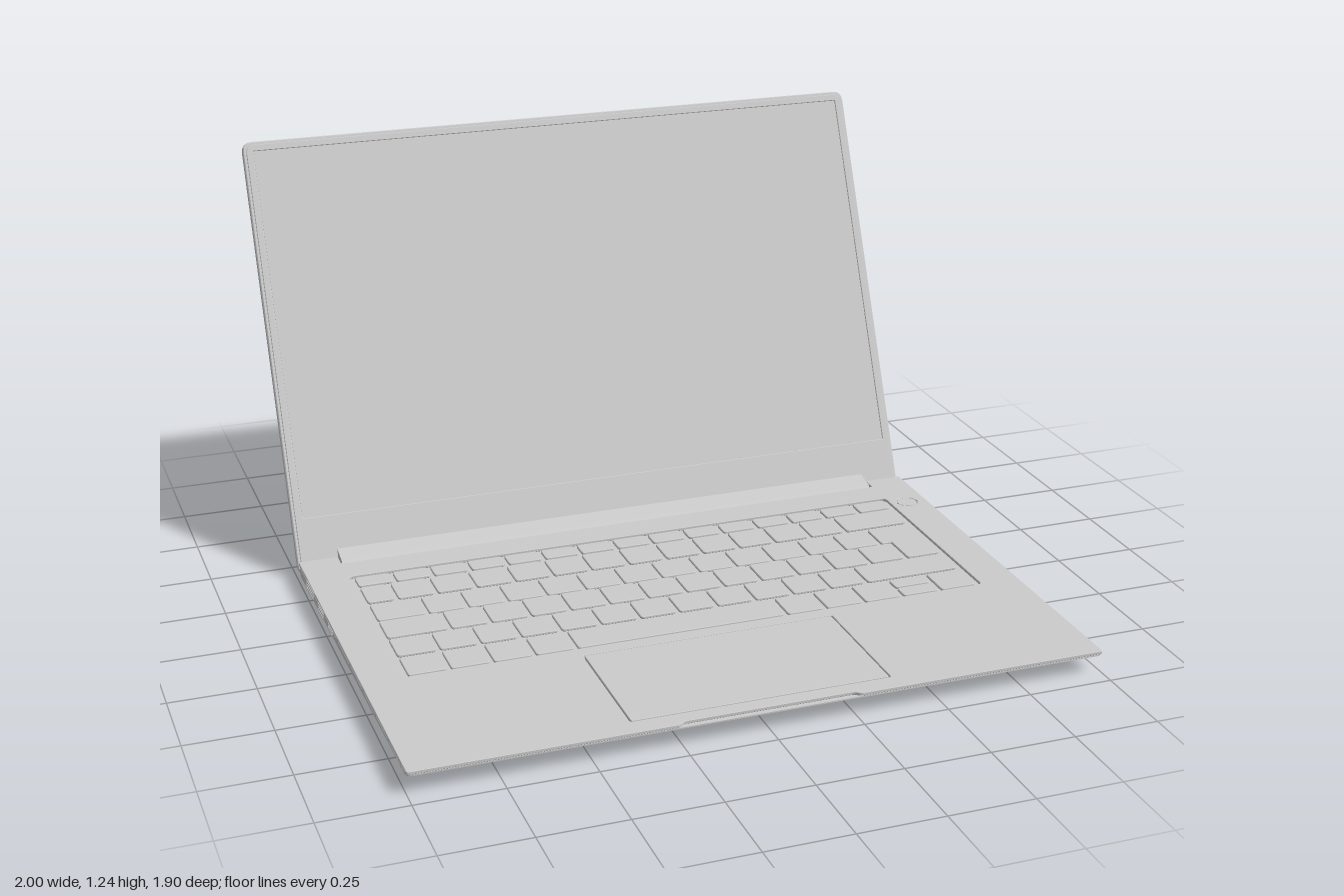
import * as THREE from 'three';
import { toCreasedNormals } from 'three/addons/utils/BufferGeometryUtils.js';

const material = new THREE.MeshStandardMaterial({ color: 0xcccccc, side: THREE.DoubleSide });

function add(parent, name, geometry, x = 0, y = 0, z = 0) {
  const mesh = new THREE.Mesh(geometry, material);
  mesh.name = name;
  mesh.position.set(x, y, z);
  parent.add(mesh);
  return mesh;
}

// Polygon with every corner rounded by r
function roundedPoly(pts, r, Type = THREE.Shape) {
  const path = new Type();
  pts.forEach(([x, y], i) => {
    const p = new THREE.Vector2(x, y);
    const towards = (q) => {
      const d = new THREE.Vector2(q[0], q[1]).sub(p);
      return p.clone().addScaledVector(d.normalize(), r);
    };
    const a = towards(pts[(i + pts.length - 1) % pts.length]);
    const b = towards(pts[(i + 1) % pts.length]);
    if (i === 0) path.moveTo(a.x, a.y);
    else path.lineTo(a.x, a.y);
    path.quadraticCurveTo(x, y, b.x, b.y);
  });
  path.closePath();
  return path;
}
const rect = (x0, y0, x1, y1) => [[x0, y0], [x1, y0], [x1, y1], [x0, y1]];

// Bevelled plate lying in xy, from z = 0 to z = depth
function plate(shape, depth, bevel = 0.0015) {
  const geo = new THREE.ExtrudeGeometry(shape, {
    depth: depth - 2 * bevel, bevelThickness: bevel, bevelSize: bevel,
    bevelOffset: -bevel, bevelSegments: 1, curveSegments: 4,
  });
  return geo.translate(0, 0, bevel);
}
// Same plate laid flat: shape y becomes -z
const flat = (shape, depth, bevel) => plate(shape, depth, bevel).rotateX(-Math.PI / 2);

const FRONT = 0.95, BACK = -0.385, NOTCH = -0.333, HINGE = 0.88;
const backEdge = [[1, -BACK], [HINGE, -BACK], [HINGE, -NOTCH], [-HINGE, -NOTCH], [-HINGE, -BACK], [-1, -BACK]];

// Lower shell: stacked rings, drawn in towards a flat underside
function lowerShell() {
  const outline = roundedPoly([[-1, -FRONT], [1, -FRONT], ...backEdge], 0.02).getPoints(4);
  outline.pop();
  const n = outline.length;
  const sideY = (z) => THREE.MathUtils.mapLinear(z, BACK, FRONT, 0.03, 0.054);
  const rings = [
    { x: 0.89, z: 0.72, y: () => 0.02 },
    { x: 0.95, z: 0.85, y: (z) => THREE.MathUtils.lerp(0.02, sideY(z), 0.4) },
    { x: 1, z: FRONT, y: sideY },
    { x: 1, z: FRONT, y: () => 0.058 },
  ];
  const pos = [], index = [];
  for (const ring of rings) {
    for (const p of outline) {
      const z = Math.min(-p.y, ring.z);
      pos.push(THREE.MathUtils.clamp(p.x, -ring.x, ring.x), ring.y(z), z);
    }
  }
  for (let r = 0; r < rings.length - 1; r++) {
    for (let i = 0; i < n; i++) {
      const a = r * n + i, b = r * n + (i + 1) % n;
      index.push(a, b, b + n, a, b + n, a + n);
    }
  }
  const top = (rings.length - 1) * n;
  for (const [a, b, c] of THREE.ShapeUtils.triangulateShape(outline, [])) {
    index.push(a, c, b, top + a, top + b, top + c);
  }
  const geo = new THREE.BufferGeometry();
  geo.setAttribute('position', new THREE.Float32BufferAttribute(pos, 3));
  geo.setIndex(index);
  return toCreasedNormals(geo, 0.5);
}

// Top deck with openings for keyboard, touchpad and power button
function deck() {
  const shape = roundedPoly([
    [-1, -FRONT], [-0.26, -FRONT], [-0.245, -0.936], [0.245, -0.936], [0.26, -FRONT], [1, -FRONT], ...backEdge,
  ], 0.008);
  shape.holes.push(roundedPoly(rect(-0.88, -0.445, 0.88, 0.235), 0.015, THREE.Path));
  shape.holes.push(roundedPoly(rect(-0.38, -0.892, 0.376, -0.488), 0.008, THREE.Path));
  const button = new THREE.Path();
  button.absarc(0.935, 0.185, 0.035, 0, Math.PI * 2, true);
  shape.holes.push(button);
  return flat(shape, 0.01);
}

function keyboard() {
  const group = new THREE.Group();
  group.name = 'keyboard';
  const key = (x0, x1, z0, z1) => {
    add(group, 'key', flat(roundedPoly(rect(x0, -z1, x1, -z0), 0.01), 0.009, 0.002), 0, 0.0575, 0);
  };
  const many = (count, w) => Array(count).fill(w);
  // Each row: front and back edge, then relative key widths
  const rows = [
    [-0.225, -0.165, many(15, 1)],
    [-0.153, -0.046, [0.77, ...many(12, 1), 1.8]],
    [-0.03, 0.078, [1.28, ...many(12, 1), 1.28]],
    [0.086, 0.194, [1.58, ...many(12, 1), 1]],
    [0.206, 0.312, [1.04, ...many(11, 1), 2.57]],
    [0.326, 0.434, [1, 1, 1, 1, 5.2, 1, 1, 1, 1, 1]],
  ];
  rows.forEach(([z0, z1, widths], r) => {
    const unit = 1.742 / widths.reduce((a, b) => a + b);
    let x = -0.871;
    widths.forEach((w, i) => {
      const x0 = x + 0.006, x1 = x + w * unit - 0.006;
      x += w * unit;
      if (r === 3 && i === 13) key(x0, x1, -0.03, z1); // tall part of the enter key
      else if (r === 5 && i === 8) { // split up and down keys
        key(x0, x1, z0, 0.376);
        key(x0, x1, 0.384, z1);
      } else key(x0, x1, z0, z1);
    });
  });
  return group;
}

// Socket rim on a side wall
function port(parent, side, z, y, w, h) {
  const shape = roundedPoly(rect(-w / 2, -h / 2, w / 2, h / 2), Math.min(w, h) * 0.2);
  const t = 0.004;
  shape.holes.push(roundedPoly(rect(-w / 2 + t, -h / 2 + t, w / 2 - t, h / 2 - t), 0.002, THREE.Path));
  add(parent, 'port', plate(shape, 0.006, 0.0005).rotateY(side * Math.PI / 2), side * 0.996, y, z);
  add(parent, 'portTongue', new THREE.BoxGeometry(0.004, h * 0.25, w * 0.7), side, y, z);
}

function lid() {
  const group = new THREE.Group();
  group.name = 'lid';
  const H = 1.334;
  add(group, 'lidShell', plate(roundedPoly(rect(-1, 0, 1, H), 0.03), 0.024, 0.003));
  const bezel = roundedPoly(rect(-0.99, 0.008, 0.99, H - 0.01), 0.025);
  bezel.holes.push(roundedPoly(rect(-0.97, 0.17, 0.97, H - 0.03), 0.006, THREE.Path));
  add(group, 'bezel', plate(bezel, 0.008), 0, 0, 0.02);
  add(group, 'screen', new THREE.BoxGeometry(1.936, H - 0.204, 0.006), 0, (H + 0.14) / 2, 0.0225);
  group.position.set(0, 0.012, -0.41);
  group.rotation.x = -Math.atan2(0.545, 1.218);
  return group;
}

export function createModel() {
  const model = new THREE.Group();
  model.name = 'laptop';

  const base = new THREE.Group();
  base.name = 'base';
  model.add(base);
  add(base, 'lowerShell', lowerShell());
  add(base, 'deck', deck(), 0, 0.058, 0);
  base.add(keyboard());
  add(base, 'touchpad', flat(roundedPoly(rect(-0.376, -0.888, 0.372, -0.492), 0.008), 0.0105), 0, 0.058, 0);
  add(base, 'powerButton', new THREE.CylinderGeometry(0.031, 0.031, 0.009, 32), 0.935, 0.0625, -0.185);

  // Sockets on both sides
  port(base, 1, -0.058, 0.05, 0.085, 0.03);
  add(base, 'audioSocket', new THREE.TorusGeometry(0.013, 0.003, 6, 24).rotateY(Math.PI / 2), 1, 0.05, 0.06);
  port(base, -1, -0.22, 0.05, 0.1, 0.028);
  port(base, -1, -0.07, 0.05, 0.08, 0.026);
  port(base, -1, 0.06, 0.05, 0.06, 0.02);

  // Feet: one long strip at the back, two short ones at the front
  const foot = (name, x, z, width) => {
    const geo = new THREE.CapsuleGeometry(0.024, width - 0.048, 4, 12).rotateZ(Math.PI / 2).scale(1, 0.85, 1);
    add(base, name, geo, x, 0.0205, z);
  };
  foot('rearFoot', 0, -0.2, 1.74);
  for (const side of [-1, 1]) foot('frontFoot', side * 0.755, 0.775, 0.27);

  // Hinge bar: profile in (z, y) run across the width
  const profile = new THREE.Shape([
    [-0.346, 0.03], [-0.343, 0.062], [-0.352, 0.07], [-0.416, 0.084], [-0.39, 0.022], [-0.355, 0.022],
  ].map(([z, y]) => new THREE.Vector2(-z, y)));
  const bar = new THREE.ExtrudeGeometry(profile, { depth: 1.75, bevelEnabled: false });
  add(model, 'hingeBar', bar.translate(0, 0, -0.875).rotateY(Math.PI / 2));

  model.add(lid());
  return model;
}
